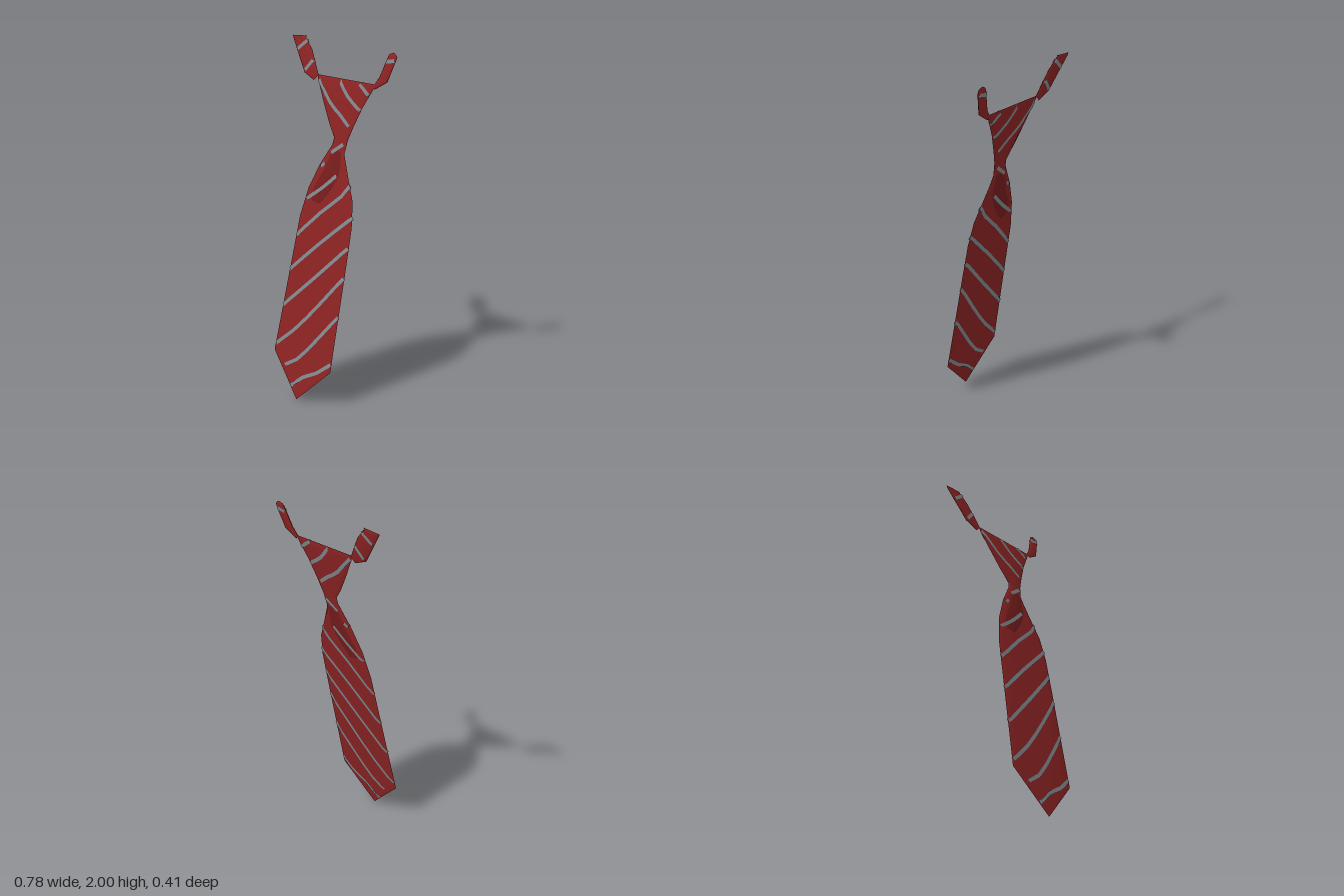
import * as THREE from 'three';

const HALF = 0.008; // half thickness of the cloth
const COLS = [0, 0.1, 0.5, 0.9, 1];
const BULGE = [0, 1, 1, 1, 0];

// the whole tie lies on one leaning plane
const lean = (y) => 0.203 - 0.204 * y;

function buildGeometry(pos, idx) {
  const g = new THREE.BufferGeometry();
  g.setAttribute('position', new THREE.Float32BufferAttribute(pos, 3));
  g.setIndex(idx);
  g.computeVertexNormals();
  return g;
}

// adds a grid of rows x cols facing the front (s = 1) or the back (s = -1)
function addGrid(pos, idx, s, nRows, nCols, point) {
  const base = pos.length / 3;
  for (let i = 0; i < nRows; i++) for (let j = 0; j < nCols; j++) {
    const [x, y, h] = point(i, j);
    pos.push(x, y, lean(y) + s * h);
  }
  for (let i = 0; i < nRows - 1; i++) for (let j = 0; j < nCols - 1; j++) {
    const a = base + i * nCols + j, b = a + 1, c = a + nCols, d = c + 1;
    if (s > 0) idx.push(a, b, d, a, d, c);
    else idx.push(a, d, b, a, c, d);
  }
}

// cushioned cloth panel; each row is [leftX, leftY, rightX, rightY, fullness]
function panel(name, rows, material, half = HALF) {
  const pos = [], idx = [];
  for (const s of [1, -1]) {
    addGrid(pos, idx, s, rows.length, COLS.length, (i, j) => {
      const [ax, ay, bx, by, full = 1] = rows[i], u = COLS[j];
      return [ax + (bx - ax) * u, ay + (by - ay) * u, BULGE[j] * full * half];
    });
  }
  const m = new THREE.Mesh(buildGeometry(pos, idx), material);
  m.name = name;
  return m;
}

// thin woven stripes on both faces, each following a few points from left to right
function stripes(name, paths, material, width = 0.02) {
  const pos = [], idx = [];
  const us = [0, 0.1, 0.3, 0.5, 0.7, 0.9, 1];
  for (const path of paths) {
    const curve = new THREE.SplineCurve(path.map(([x, y]) => new THREE.Vector2(x, y)));
    const dir = curve.getPoint(1).sub(curve.getPoint(0)).normalize();
    for (const s of [1, -1]) {
      addGrid(pos, idx, s, 2, us.length, (i, j) => {
        const p = curve.getPoint(us[j]);
        const o = (i - 0.5) * width;
        const edge = j === 0 || j === us.length - 1;
        return [p.x - dir.y * o, p.y + dir.x * o, edge ? 0.003 : HALF + 0.002];
      });
    }
  }
  const m = new THREE.Mesh(buildGeometry(pos, idx), material);
  m.name = name;
  return m;
}

export function createModel() {
  const red = new THREE.MeshStandardMaterial({ color: 0x8c2323 });
  red.name = 'red cloth';
  const shade = new THREE.MeshStandardMaterial({ color: 0x761c1c });
  shade.name = 'dark red fold';
  const grey = new THREE.MeshStandardMaterial({ color: 0x7f898f, side: THREE.DoubleSide });
  grey.name = 'grey stripe';

  const tie = new THREE.Group();
  tie.name = 'necktie';

  // hanging blade, from the tip up to the waist
  tie.add(panel('blade', [
    [0.02, 0.005, 0.02, 0.005, 0],
    [-0.2, 0.235, 0.24, 0.22],
    [-0.16, 0.8, 0.245, 0.8],
    [-0.145, 1.02, 0.245, 1.02],
    [-0.11, 1.18, 0.225, 1.16],
    [-0.05, 1.32, 0.17, 1.28],
    [0.022, 1.44, 0.118, 1.4],
    [0.028, 1.48, 0.13, 1.48],
  ], red));

  // fold under the knot
  tie.add(panel('fold', [
    [-0.07, 1.12, 0.0, 1.11, 1],
    [-0.08, 1.19, 0.08, 1.2],
    [-0.02, 1.3, 0.12, 1.28],
    [0.035, 1.43, 0.11, 1.4],
  ], shade, HALF + 0.001));

  // knot, widening from the waist to the top edge
  tie.add(panel('knot', [
    [0.028, 1.48, 0.13, 1.48],
    [-0.02, 1.545, 0.155, 1.55],
    [-0.088, 1.66, 0.2, 1.66],
    [-0.15, 1.775, 0.258, 1.765],
    [-0.158, 1.8, 0.268, 1.79, 0],
  ], red));

  // collar bands
  tie.add(panel('rightBand', [
    [-0.18, 1.765, -0.15, 1.795, 0.6],
    [-0.26, 1.8, -0.185, 1.86],
    [-0.315, 1.88, -0.225, 1.93],
    [-0.385, 1.985, -0.285, 1.99],
    [-0.39, 1.995, -0.28, 2.0, 0],
  ], red));
  tie.add(panel('leftBand', [
    [0.255, 1.785, 0.268, 1.765, 0.6],
    [0.285, 1.83, 0.345, 1.81],
    [0.325, 1.945, 0.38, 1.92],
    [0.332, 1.955, 0.386, 1.945, 0.6],
    [0.355, 1.965, 0.37, 1.96, 0],
  ], red));

  // stripes
  tie.add(stripes('bladeStripes', [
    [[-0.035, 0.07], [0.06, 0.15], [0.14, 0.19], [0.235, 0.265]],
    [[-0.11, 0.17], [0.0, 0.24], [0.12, 0.38], [0.24, 0.53]],
    [[-0.19, 0.275], [-0.05, 0.4], [0.09, 0.56], [0.24, 0.745]],
    [[-0.178, 0.5], [0.03, 0.7], [0.24, 0.91]],
    [[-0.162, 0.71], [0.04, 0.9], [0.24, 1.075]],
    [[-0.147, 0.91], [0.03, 1.08], [0.14, 1.17], [0.192, 1.24]],
    [[-0.11, 1.12], [0.0, 1.2], [0.1, 1.29]],
    [[-0.035, 1.315], [-0.005, 1.335]],
    [[0.025, 1.395], [0.11, 1.455]],
  ], grey));
  tie.add(stripes('knotStripes', [
    [[-0.14, 1.775], [-0.02, 1.655], [0.05, 1.61], [0.142, 1.54]],
    [[0.02, 1.785], [0.09, 1.71], [0.188, 1.645]],
    [[0.16, 1.785], [0.235, 1.73]],
  ], grey));
  tie.add(stripes('bandStripes', [
    [[-0.335, 1.92], [-0.265, 1.975]],
    [[-0.255, 1.81], [-0.2, 1.875]],
    [[0.318, 1.915], [0.376, 1.925]],
  ], grey));

  return tie;
}
